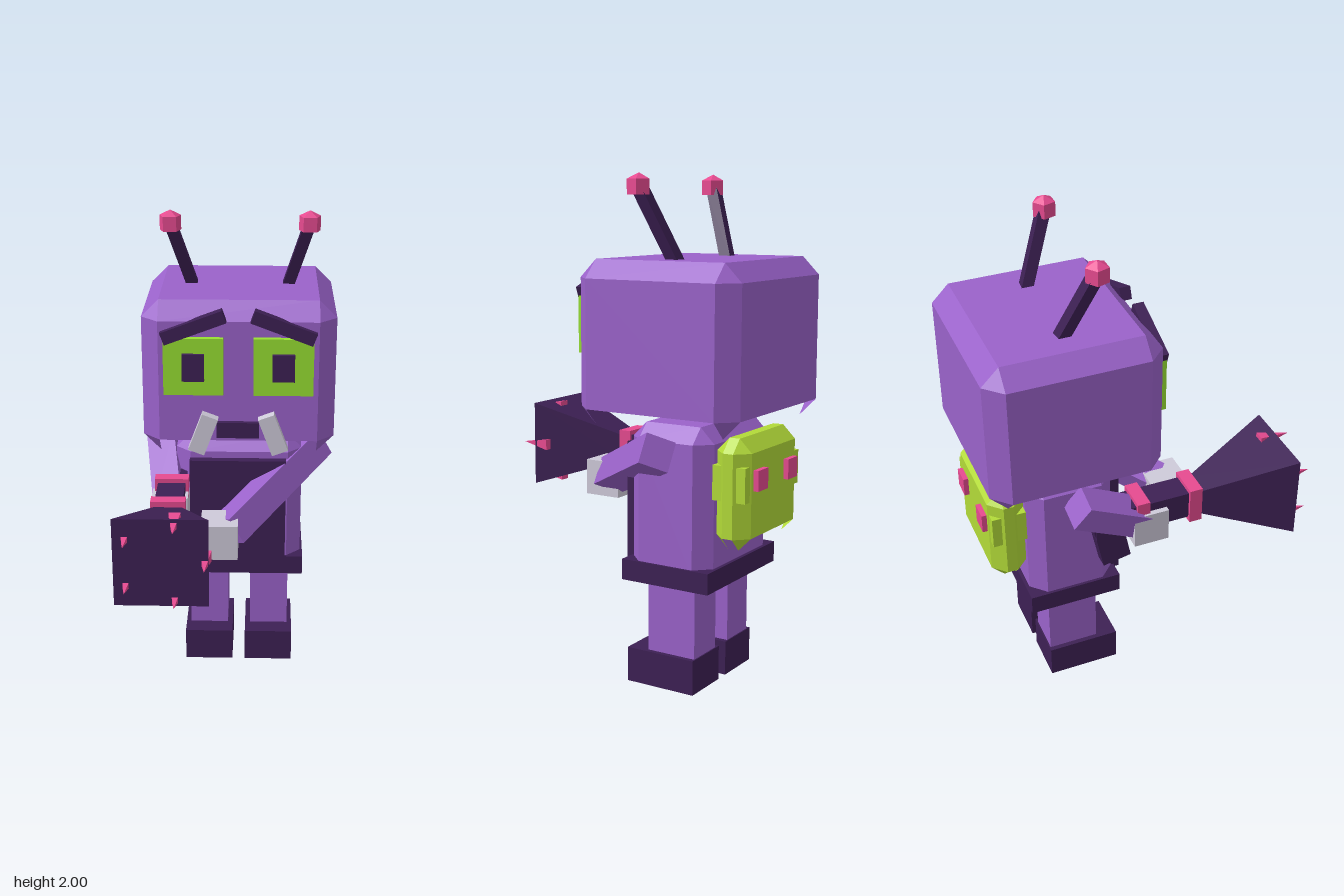
import * as THREE from 'three';

const CX = 0.027; // body symmetry plane

function mat(name, hex, side = THREE.FrontSide) {
  const m = new THREE.MeshStandardMaterial({ color: hex, side });
  m.name = name;
  m.flatShading = true;
  return m;
}

// Box with chamfered edges and an open underside
function chamferBox(w, h, d, c) {
  const half = [w / 2, h / 2, d / 2], pos = [];
  // corner vertex that reaches full extent along axis k
  const P = (s, k) => new THREE.Vector3(...s.map((v, i) => v * (half[i] - (i === k ? 0 : c))));
  const poly = (pts) => {
    const n = pts[1].clone().sub(pts[0]).cross(pts[2].clone().sub(pts[0]));
    const mid = pts.reduce((a, p) => a.add(p), new THREE.Vector3());
    if (n.dot(mid) < 0) pts.reverse();
    for (let i = 1; i < pts.length - 1; i++) {
      for (const p of [pts[0], pts[i], pts[i + 1]]) pos.push(p.x, p.y, p.z);
    }
  };
  const corner = (k, a, s, u, v) => {
    const r = [0, 0, 0];
    r[k] = s; r[a] = u; r[3 - k - a] = v;
    return r;
  };
  for (let k = 0; k < 3; k++) {
    const a = (k + 1) % 3;
    for (const s of [-1, 1]) {
      // flat faces
      if (!(k === 1 && s < 0)) {
        poly([[-1, -1], [1, -1], [1, 1], [-1, 1]].map(([u, v]) => P(corner(k, a, s, u, v), k)));
      }
      // chamfers between axes k and a
      for (const t of [-1, 1]) {
        if ((k === 1 && s < 0) || (a === 1 && t < 0)) continue;
        const lo = corner(k, a, s, t, -1), hi = corner(k, a, s, t, 1);
        poly([P(lo, k), P(hi, k), P(hi, a), P(lo, a)]);
      }
    }
  }
  // corner triangles
  for (const x of [-1, 1]) for (const y of [-1, 1]) for (const z of [-1, 1]) {
    poly([0, 1, 2].map((k) => P([x, y, z], k)));
  }
  const g = new THREE.BufferGeometry();
  g.setAttribute('position', new THREE.Float32BufferAttribute(pos, 3));
  g.computeVertexNormals();
  return g;
}

export function createModel() {
  const root = new THREE.Group();
  root.name = 'robotCreature';
  const purple = mat('purple skin', 0x9a62ca, THREE.DoubleSide);
  const dark = mat('dark violet', 0x3d2054);
  const eyeGreen = mat('eye green', 0x97e032);
  const packGreen = mat('pack lime', 0xb2da38, THREE.DoubleSide);
  const pink = mat('pink', 0xe64a90);
  const grey = mat('pale grey', 0xcecad9);

  const add = (name, geo, m, x = 0, y = 0, z = 0) => {
    const mesh = new THREE.Mesh(geo, m);
    mesh.name = name;
    mesh.position.set(x, y, z);
    root.add(mesh);
    return mesh;
  };
  // box given by its min and max on each axis
  const box = (name, m, x0, x1, y0, y1, z0, z1) =>
    add(name, new THREE.BoxGeometry(x1 - x0, y1 - y0, z1 - z0), m, (x0 + x1) / 2, (y0 + y1) / 2, (z0 + z1) / 2);
  // square bar running between two points, its sides squared to the front
  const bar = (name, m, a, b, t) => {
    const A = new THREE.Vector3(...a), B = new THREE.Vector3(...b);
    const mesh = add(name, new THREE.BoxGeometry(t, t, A.distanceTo(B)), m);
    mesh.position.copy(A).lerp(B, 0.5);
    mesh.up.set(0, 0, 1);
    mesh.lookAt(B);
    return mesh;
  };

  // Head and torso
  add('head', chamferBox(0.775, 0.635, 0.695, 0.07), purple, CX, 1.364, -0.31);
  add('torso', chamferBox(0.53, 0.63, 0.36, 0.06), purple, CX, 0.743, -0.31);
  box('bib', dark, -0.18, 0.225, 0.5, 0.97, -0.135, -0.095);
  box('belt', dark, -0.25, 0.302, 0.432, 0.515, -0.505, -0.12);

  // Paired parts
  for (const s of [-1, 1]) {
    const side = s > 0 ? 'left' : 'right';
    const X = (d) => CX + s * d;
    const pair = (name, m, x, w, ...r) => box(side + name, m, X(x) - w / 2, X(x) + w / 2, ...r);
    pair('Leg', purple, 0.132, 0.165, 0.14, 0.42, -0.415, -0.205);
    pair('Foot', dark, 0.131, 0.207, 0, 0.14, -0.42, -0.12);
    pair('Eye', eyeGreen, 0.178, 0.237, 1.318, 1.55, 0.038, 0.064);
    pair('Pupil', dark, 0.178, 0.088, 1.38, 1.49, 0.05, 0.081);
    const brow = add(side + 'Brow', new THREE.BoxGeometry(0.26, 0.052, 0.045), dark, X(0.178), 1.593, 0.044);
    brow.rotation.z = -s * 0.36;
    const tusk = add(side + 'Tusk', new THREE.BoxGeometry(0.068, 0.162, 0.045), grey, X(0.14), 1.156, 0.061);
    tusk.rotation.z = s * 0.36;

    // Antenna with a five-sided bulb
    bar(side + 'Antenna', dark, [X(0.193), 1.66, -0.318], [X(0.275), 1.94, -0.205], 0.046);
    const profile = [[0, -0.038], [0.045, -0.038], [0.045, 0.02], [0, 0.043]].map((p) => new THREE.Vector2(...p));
    const bulb = add(side + 'AntennaBulb', new THREE.LatheGeometry(profile, 5), pink, X(0.277), 1.957, -0.2);
    bulb.rotation.y = Math.PI;

    // Pack lamp
    pair('PackLamp', pink, 0.125, 0.08, 0.83, 0.91, -0.656, -0.62);
  }
  box('mouth', dark, -0.06, 0.11, 1.135, 1.2, 0.038, 0.06);

  // Backpack with corner pads
  add('backpack', chamferBox(0.465, 0.43, 0.147, 0.052), packGreen, CX, 0.812, -0.562);
  box('packPads', packGreen, CX - 0.223, CX + 0.223, 0.79, 0.925, -0.631, -0.492);

  // Arms and hands
  bar('leftArm', purple, [0.356, 0.97, -0.315], [-0.014, 0.76, 0.145], 0.12);
  box('leftHand', grey, -0.12, 0.03, 0.678, 0.825, 0.08, 0.238);
  bar('rightArm', purple, [-0.302, 0.972, -0.315], [-0.255, 0.79, -0.01], 0.12);
  box('rightHand', grey, -0.33, -0.18, 0.72, 0.865, -0.085, 0.062);

  // Blaster
  const GX = -0.25, GY = 0.84;
  box('barrel', dark, GX - 0.057, GX + 0.057, GY - 0.057, GY + 0.062, -0.24, 0.21);
  const stock = box('stock', dark, GX - 0.05, GX + 0.01, 0.645, 0.85, -0.23, -0.11);
  stock.rotation.x = -0.2;
  for (const z of [0.186, -0.042]) {
    box('blasterRing', pink, GX - 0.07, GX + 0.07, GY - 0.077, GY + 0.08, z - 0.027, z + 0.027);
  }
  const funnel = new THREE.CylinderGeometry(0.18 * Math.SQRT2, 0.055 * Math.SQRT2, 0.38, 4);
  funnel.rotateY(Math.PI / 4).rotateX(Math.PI / 2);
  add('muzzle', funnel, dark, GX, GY, 0.397);

  // Pyramid spikes around the muzzle rim
  const spike = new THREE.ConeGeometry(0.023 * Math.SQRT2, 0.135, 4).rotateY(Math.PI / 4).rotateX(Math.PI / 2);
  for (let i = 0; i < 5; i++) {
    const a = (i * Math.PI * 2) / 5;
    add('spike', spike, pink, GX + 0.165 * Math.cos(a), GY + 0.163 * Math.sin(a), 0.588);
  }
  return root;
}
